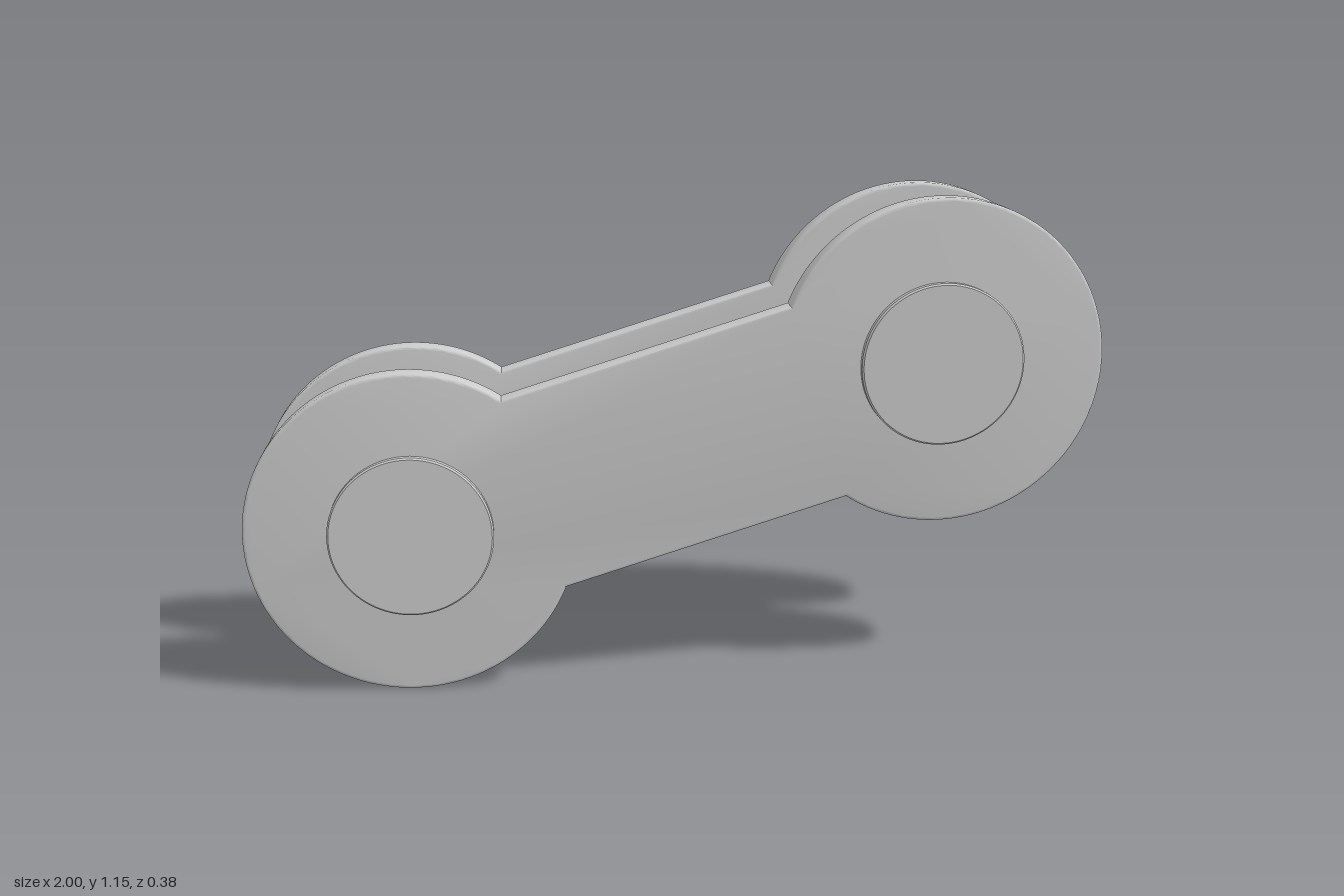
import * as THREE from 'three';
import { toCreasedNormals } from 'three/addons/utils/BufferGeometryUtils.js';

const DX = 1.234, DY = 0.38;          // offset between the two pin centres
const HALF = Math.hypot(DX, DY) / 2;
const EYE_R = 0.383, BAR_HALF = 0.239, PIN_R = 0.191;
const BEVEL = 0.007;

// Side plate outline: two round eyes joined by a straight bar
function plateGeometry(thickness) {
  const a = Math.asin(BAR_HALF / EYE_R);
  const shape = new THREE.Shape();
  shape.absarc(-HALF, 0, EYE_R, a, 2 * Math.PI - a, false);
  shape.absarc(HALF, 0, EYE_R, Math.PI + a, 3 * Math.PI - a, false);
  shape.closePath();
  const geo = new THREE.ExtrudeGeometry(shape, {
    depth: thickness - 2 * BEVEL, curveSegments: 64,
    bevelEnabled: true, bevelThickness: BEVEL, bevelSize: BEVEL,
    bevelOffset: -BEVEL, bevelSegments: 3,
  });
  geo.translate(0, 0, BEVEL - thickness / 2);
  return toCreasedNormals(geo, 0.6);
}

// Solid pin with slightly chamfered ends, lying along z
function pinGeometry(length) {
  const h = length / 2, c = 0.004;
  const profile = [
    [0, -h], [PIN_R - c, -h], [PIN_R, -h + c],
    [PIN_R, h - c], [PIN_R - c, h], [0, h],
  ].map(([x, y]) => new THREE.Vector2(x, y));
  const geo = new THREE.LatheGeometry(profile, 96);
  geo.rotateX(Math.PI / 2);
  return toCreasedNormals(geo, 0.5);
}

export function createModel() {
  const model = new THREE.Group();
  model.name = 'chainLink';
  const material = new THREE.MeshStandardMaterial({ color: 0xcccccc });

  // The link is tilted so its left end sits higher
  const link = new THREE.Group();
  link.name = 'tiltedLink';
  link.position.y = EYE_R + DY / 2;
  link.rotation.z = Math.atan2(DY, DX);
  model.add(link);

  const plate = plateGeometry(0.056);
  const pin = pinGeometry(0.38);
  for (const s of [-1, 1]) {
    const plateMesh = new THREE.Mesh(plate, material);
    plateMesh.name = s > 0 ? 'frontPlate' : 'backPlate';
    plateMesh.position.z = s * 0.144;

    const pinMesh = new THREE.Mesh(pin, material);
    pinMesh.name = s > 0 ? 'leftPin' : 'rightPin';
    pinMesh.position.x = s * HALF;

    link.add(plateMesh, pinMesh);
  }
  return model;
}
